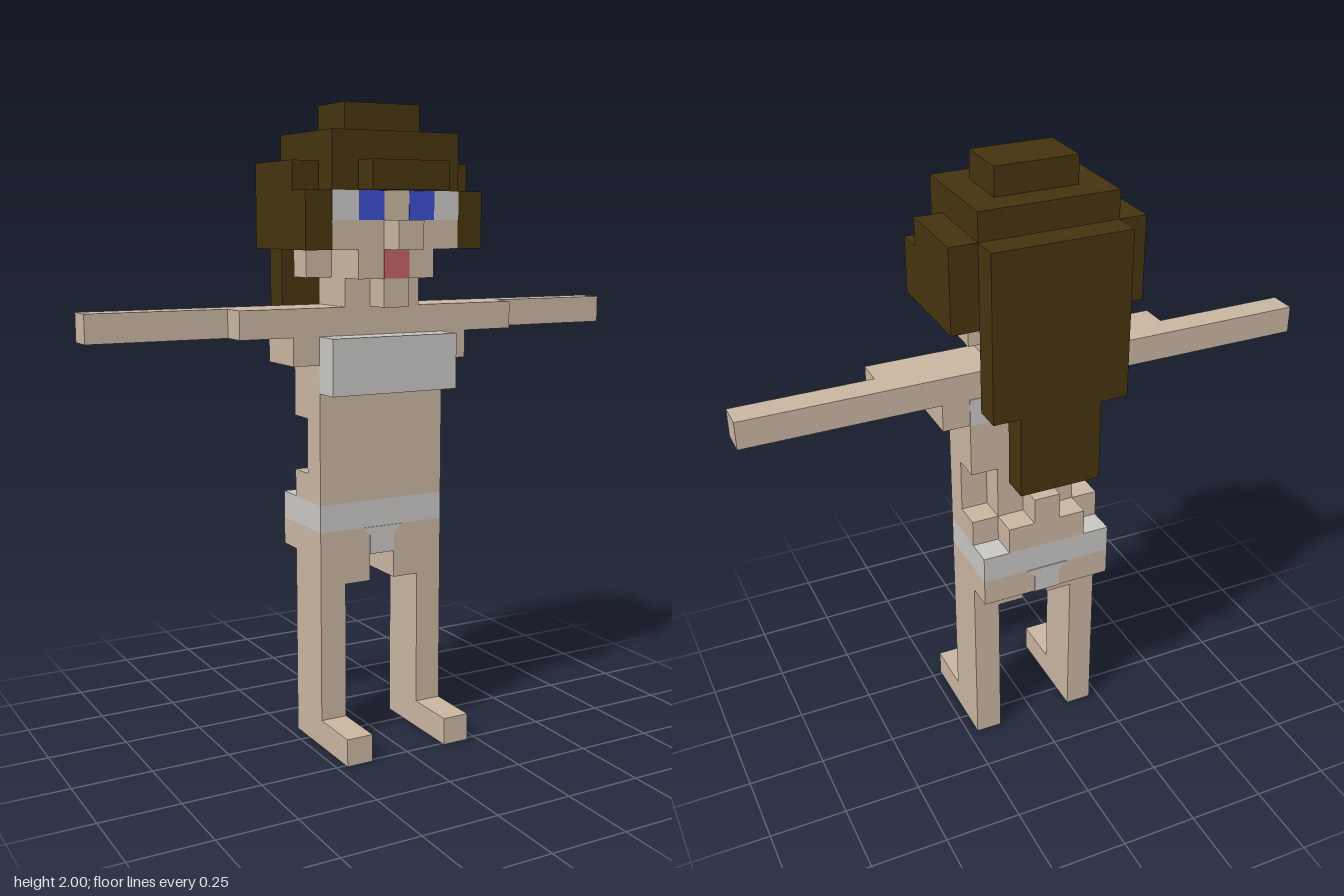
import * as THREE from 'three';

const U = 2 / 23; // edge of one block

const paint = (name, color) => {
  const m = new THREE.MeshStandardMaterial({ color });
  m.name = name;
  return m;
};

export function createModel() {
  const skin = paint('skin', 0xc9b5a0);
  const hair = paint('hair brown', 0x45330f);
  const cloth = paint('cloth white', 0xc7c6c3);
  const blue = paint('eye blue', 0x3a4ccb);
  const pink = paint('mouth pink', 0xbf6268);

  const model = new THREE.Group();
  model.name = 'blockFigure';

  const group = (name) => {
    const g = new THREE.Group();
    g.name = name;
    model.add(g);
    return g;
  };

  // Box given by its limits in block units
  const box = (parent, name, mat, x0, x1, y0, y1, z0, z1) => {
    const geo = new THREE.BoxGeometry((x1 - x0) * U, (y1 - y0) * U, (z1 - z0) * U);
    const mesh = new THREE.Mesh(geo, mat);
    mesh.name = name;
    mesh.position.set((x0 + x1) / 2 * U, (y0 + y1) / 2 * U, (z0 + z1) / 2 * U);
    parent.add(mesh);
    return mesh;
  };
  // Box centred on x = 0, given by its half width
  const mid = (parent, name, mat, w, y0, y1, z0, z1) =>
    box(parent, name, mat, -w, w, y0, y1, z0, z1);
  // Mirrored pair of boxes
  const pair = (parent, name, mat, x0, x1, y0, y1, z0, z1) => {
    box(parent, name + 'Left', mat, x0, x1, y0, y1, z0, z1);
    box(parent, name + 'Right', mat, -x1, -x0, y0, y1, z0, z1);
  };

  // Legs and feet
  const legs = group('legs');
  pair(legs, 'leg', skin, 1.5, 2.5, 0, 7, -1, 1);
  pair(legs, 'innerThigh', skin, 0.5, 1.5, 6, 7, -1, 1);
  pair(legs, 'foot', skin, 1.5, 2.5, 0, 1, 1, 3);

  // Hips with briefs
  const hips = group('hips');
  pair(hips, 'hip', skin, 0.5, 2.5, 7, 8, -2, 1);
  mid(hips, 'briefsCentre', cloth, 0.5, 7, 8, -2, 1);
  mid(hips, 'briefsBand', cloth, 2.5, 8, 9, -2, 1);
  // Flared panel where the briefs meet the band
  const flare = new THREE.Shape();
  flare.moveTo(-0.5 * U, 0);
  flare.lineTo(0.5 * U, 0);
  flare.lineTo(0.5 * U, 0.7 * U);
  flare.lineTo(0.8 * U, U);
  flare.lineTo(-0.8 * U, U);
  flare.lineTo(-0.5 * U, 0.7 * U);
  const flareGeo = new THREE.ExtrudeGeometry(flare, { depth: 0.003, bevelEnabled: false });
  for (const [name, z] of [['briefsFront', U], ['briefsBack', -2 * U - 0.003]]) {
    const panel = new THREE.Mesh(flareGeo, cloth);
    panel.name = name;
    panel.position.set(0, 7 * U, z);
    hips.add(panel);
  }

  // Torso, with a notch behind each side of the waist
  const torso = group('torso');
  mid(torso, 'belly', skin, 2.5, 9, 10, -1, 1);
  mid(torso, 'waistFront', skin, 2.5, 10, 12, 0, 1);
  mid(torso, 'waistBack', skin, 1.5, 10, 12, -1, 0);
  mid(torso, 'chest', skin, 2.5, 12, 16, -1, 1);
  mid(torso, 'lowerBack', skin, 1.5, 9, 10, -2, -1);
  mid(torso, 'lowerBackStep', skin, 0.5, 10, 11, -2, -1);
  mid(torso, 'top', cloth, 2.5, 13, 15, 1, 2);
  mid(torso, 'backStrap', cloth, 2.5, 14, 15, -1.03, -1);

  // Arms held out sideways
  const arms = group('arms');
  pair(arms, 'arm', skin, 2.5, 10.5, 15, 16, -1, 0);
  pair(arms, 'upperArm', skin, 2.5, 5.5, 15, 16, 0, 1);
  pair(arms, 'armpit', skin, 2.5, 3.5, 14, 15, -1, 1);

  // Head and face
  const head = group('head');
  mid(head, 'neck', skin, 1.5, 16, 17, -1, 1);
  mid(head, 'chin', skin, 0.5, 16, 17, 1, 2);
  mid(head, 'jaw', skin, 1.5, 17, 18, -1, 2);
  pair(head, 'jawCorner', skin, 1.5, 2.5, 17, 18, -1, 0);
  mid(head, 'face', skin, 2.5, 18, 20, -1, 2);
  mid(head, 'nose', skin, 0.5, 18, 19, 2, 3);
  mid(head, 'mouth', pink, 0.5, 17, 18, 2, 2.03);
  pair(head, 'eyeWhite', cloth, 1.5, 2.5, 19, 20, 2, 2.03);
  pair(head, 'iris', blue, 0.5, 1.5, 19, 20, 2, 2.03);

  // Hair
  const hairdo = group('hair');
  pair(hairdo, 'sideHair', hair, 2.5, 3.5, 18, 20, -2, 2);
  pair(hairdo, 'sideHairTop', hair, 2.5, 3.5, 20, 21, -2, 1);
  mid(hairdo, 'backHair', hair, 2.5, 18, 20, -2, -1);
  mid(hairdo, 'crownLower', hair, 2.5, 20, 22, -2, 2);
  mid(hairdo, 'crownTop', hair, 1.5, 22, 23, -1, 1);
  mid(hairdo, 'fringe', hair, 1.5, 20, 21, 2, 3);
  mid(hairdo, 'longHair', hair, 2.5, 15, 21, -3, -2);
  mid(hairdo, 'longHairTip', hair, 1.5, 12, 15, -3, -2);

  return model;
}
